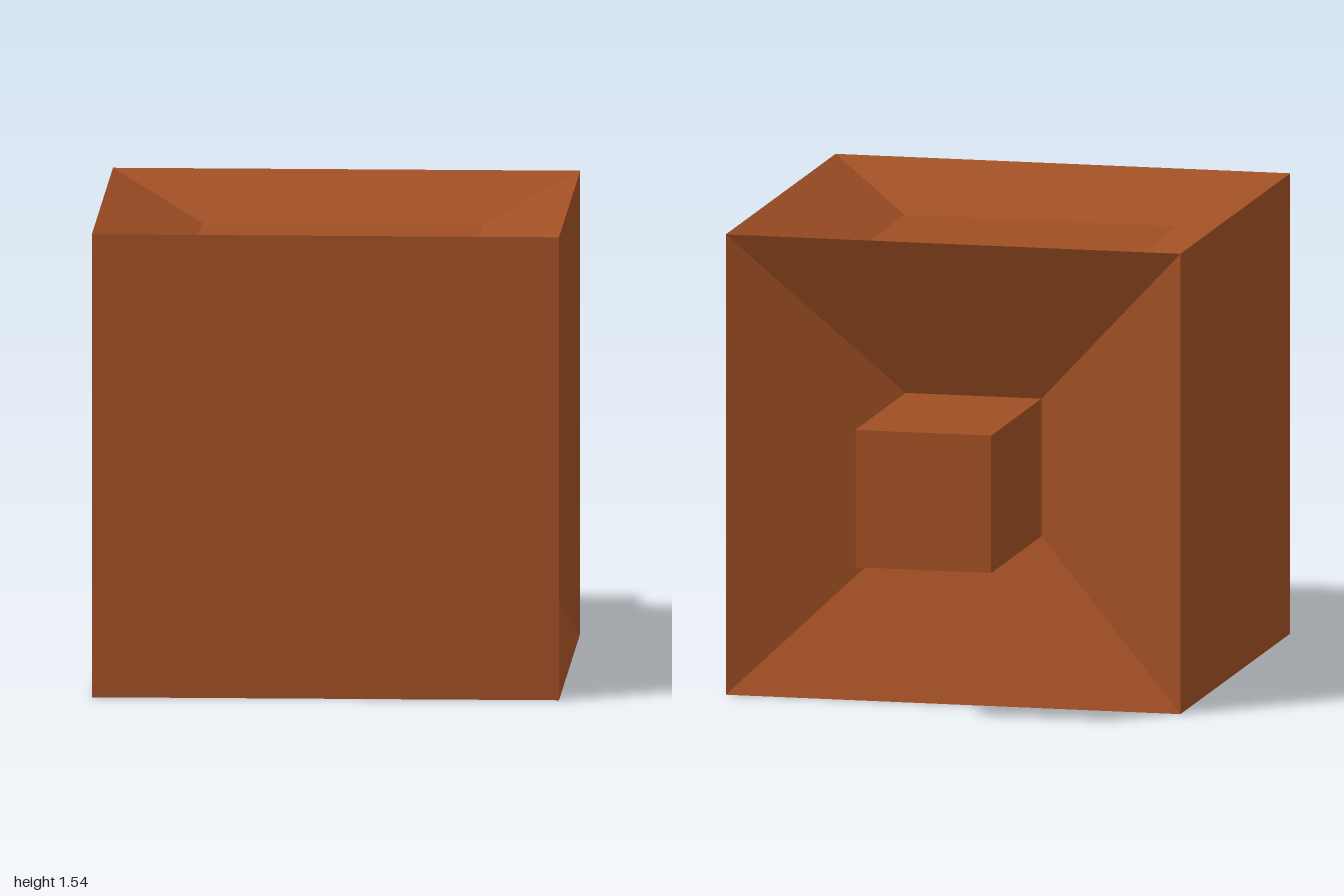
import * as THREE from 'three';

const HALF = 0.77; // half the cube's edge

// One side of the cube, facing +z: square rings joined by walls, the last one capped.
// Each ring is [half size, height along z, x offset, y offset].
function sideGeometry(rings) {
  const corners = rings.map(([h, z, ox = 0, oy = 0]) =>
    [[-1, -1], [1, -1], [1, 1], [-1, 1]].map(([sx, sy]) => [ox + sx * h, oy + sy * h, z]));
  const positions = [];
  const quad = (a, b, c, d) => positions.push(...a, ...b, ...c, ...a, ...c, ...d);
  for (let r = 0; r < corners.length - 1; r++) {
    for (let i = 0; i < 4; i++) {
      const j = (i + 1) % 4;
      quad(corners[r][i], corners[r][j], corners[r + 1][j], corners[r + 1][i]);
    }
  }
  quad(...corners[corners.length - 1]);
  const geometry = new THREE.BufferGeometry();
  geometry.setAttribute('position', new THREE.Float32BufferAttribute(positions, 3));
  geometry.computeVertexNormals();
  return geometry;
}

export function createModel() {
  const model = new THREE.Group();
  model.name = 'recessedCube';
  const brown = new THREE.MeshStandardMaterial({ color: 0xa04f24 });
  brown.name = 'rust brown';

  const outer = [HALF, HALF];
  const sides = [
    // name, rotation x, rotation y, rings
    ['frontPanel', 0, 0, [outer]],
    ['leftRecess', 0, Math.PI / 2, [outer, [0.387, 0.57]]],
    ['rightPanel', 0, -Math.PI / 2, [outer]],
    ['topRecess', -Math.PI / 2, 0, [outer, [0.4625, 0.633]]],
    ['bottomPanel', Math.PI / 2, 0, [outer]],
    // sloping walls run in to the foot of a square peg
    ['backRecessWithPeg', 0, Math.PI, [outer, [0.23, 0.524, 0.01, -0.01], [0.23, 1.23, 0.01, -0.01]]],
  ];
  for (const [name, rx, ry, rings] of sides) {
    const mesh = new THREE.Mesh(sideGeometry(rings), brown);
    mesh.name = name;
    mesh.rotation.set(rx, ry, 0);
    mesh.position.set(0, HALF, 0.23);
    model.add(mesh);
  }
  return model;
}
